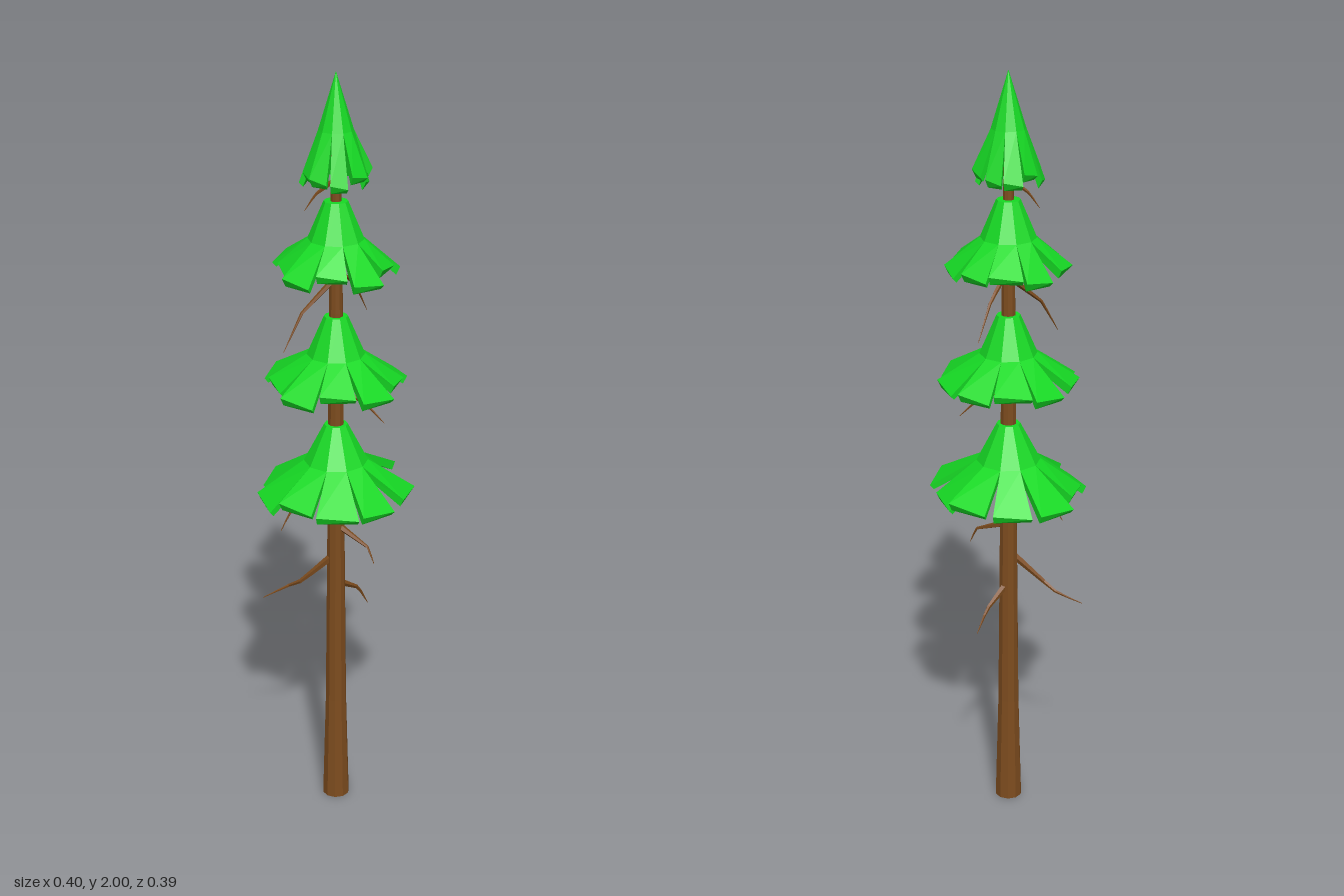
import * as THREE from 'three';

const bark = new THREE.MeshStandardMaterial({ color: 0x7d4c1e, flatShading: true });
const needles = new THREE.MeshStandardMaterial({ color: 0x16d924, flatShading: true, side: THREE.DoubleSide });
const LEAVES = 10;

function add(parent, name, geometry, material) {
  const mesh = new THREE.Mesh(geometry, material);
  mesh.name = name;
  parent.add(mesh);
  return mesh;
}

// Geometry from loose four-cornered faces
function quadGeometry(quads) {
  const pos = [];
  for (const [a, b, c, d] of quads) for (const p of [a, b, c, a, c, d]) pos.push(p.x, p.y, p.z);
  const g = new THREE.BufferGeometry();
  g.setAttribute('position', new THREE.Float32BufferAttribute(pos, 3));
  g.computeVertexNormals();
  return g;
}

const polar = (r, y, a) => new THREE.Vector3(r * Math.cos(a), y, r * Math.sin(a));

// A skirt of ten thick drooping leaves, joined above the middle row and split below it.
// rows: [radius, height] at the top, middle and tip; offset: angle of the first leaf in degrees
function tierGeometry(rows, offset, stretch) {
  const quads = [];
  for (let i = 0; i < LEAVES; i++) {
    const centre = THREE.MathUtils.degToRad(offset + i * 360 / LEAVES);
    const half = Math.PI / LEAVES;
    const reach = 1 + stretch * (i % 2 ? -1 : 1);
    const lift = 0.012 * Math.sin(i * 2.4 + offset);
    const outer = [], inner = [];
    rows.forEach(([r, y], k) => {
      const tip = k === 2;
      const h = tip ? half * 0.86 : half;
      const ends = [centre - h, centre + h];
      const rr = tip ? r * reach : r, yy = tip ? y + lift : y;
      outer.push(ends.map((a, s) => polar(rr, yy + (tip ? 0.005 * (s ? 1 : -1) : 0), a)));
      inner.push(ends.map((a) => polar(Math.max(rr - 0.01, 0), yy - 0.016, a)));
    });
    for (let k = 0; k < 2; k++) {
      const [a, b, c, d] = [outer[k], outer[k + 1], inner[k], inner[k + 1]];
      quads.push([a[0], a[1], b[1], b[0]]); // upper face
      quads.push([c[1], c[0], d[0], d[1]]); // underside
      if (k === 1) {
        quads.push([a[0], b[0], d[0], c[0]], [b[1], a[1], c[1], d[1]]); // sides
        quads.push([b[0], b[1], d[1], d[0]]); // tip edge
      }
    }
    // Flat cap over the tier
    const hub = new THREE.Vector3(0, rows[0][1], 0);
    if (rows[0][0] > 0) quads.push([hub, outer[0][1], outer[0][0], hub]);
  }
  return quadGeometry(quads);
}

// Bare twig: four-sided tube along a bent path, tapering to a point
function twigGeometry(points, radius) {
  const sides = 5, segs = 6;
  const path = new THREE.CurvePath();
  const pts = points.map((p) => new THREE.Vector3(...p));
  for (let i = 1; i < pts.length; i++) path.add(new THREE.LineCurve3(pts[i - 1], pts[i]));
  const g = new THREE.TubeGeometry(path, segs, radius, sides, false);
  const pos = g.attributes.position, v = new THREE.Vector3();
  for (let i = 0; i < pos.count; i++) {
    const t = Math.floor(i / (sides + 1)) / segs;
    const c = path.getPointAt(t);
    v.fromBufferAttribute(pos, i).sub(c).multiplyScalar(1 - 0.92 * t).add(c);
    pos.setXYZ(i, v.x, v.y, v.z);
  }
  g.computeVertexNormals();
  return g;
}

export function createModel() {
  const tree = new THREE.Group();
  tree.name = 'pineTree';

  // Trunk, flared at the foot
  const profile = [[0, 0], [0.036, 0], [0.028, 0.3], [0.022, 0.9], [0.018, 1.4], [0.012, 1.8], [0, 1.82]];
  add(tree, 'trunk', new THREE.LatheGeometry(profile.map(([x, y]) => new THREE.Vector2(x, y)), 10), bark);

  // Foliage tiers, lowest first
  const foliage = new THREE.Group();
  foliage.name = 'foliage';
  tree.add(foliage);
  [
    { rows: [[0.03, 1.1], [0.082, 1.0], [0.194, 0.92]], offset: -23.5, stretch: 0.04 },
    { rows: [[0.03, 1.39], [0.073, 1.29], [0.174, 1.222]], offset: 12, stretch: 0.03 },
    { rows: [[0.03, 1.685], [0.07, 1.59], [0.15, 1.52]], offset: 18, stretch: 0.05 },
    { rows: [[0, 2.0], [0.043, 1.86], [0.085, 1.748]], offset: 8, stretch: 0.05 },
  ].forEach(({ rows, offset, stretch }, i) =>
    add(foliage, `foliageTier${i + 1}`, tierGeometry(rows, offset, stretch), needles));

  // Dead twigs between the tiers
  const twigs = new THREE.Group();
  twigs.name = 'twigs';
  tree.add(twigs);
  [
    [[0, 0.73, 0.01], [-0.07, 0.65, 0.058], [-0.11, 0.625, 0.065], [-0.16, 0.59, 0.11]],
    [[0, 0.645, -0.01], [0.005, 0.6, -0.085], [0.01, 0.54, -0.12]],
    [[0.01, 0.815, 0], [0.1, 0.777, -0.01], [0.118, 0.735, -0.012]],
    [[-0.005, 0.94, 0.005], [-0.075, 0.865, 0.09], [-0.09, 0.81, 0.113]],
    [[0.005, 1.19, -0.005], [0.06, 1.167, -0.035], [0.11, 1.11, -0.06]],
    [[-0.005, 1.48, 0.01], [-0.038, 1.41, 0.085], [-0.05, 1.32, 0.14]],
    [[0, 1.5, -0.01], [-0.015, 1.45, -0.09], [-0.02, 1.36, -0.145]],
    [[-0.003, 1.735, 0.003], [-0.037, 1.7, 0.033], [-0.055, 1.66, 0.053]],
  ].forEach((points, i) => add(twigs, `twig${i + 1}`, twigGeometry(points, 0.0105 - 0.0005 * i), bark));

  return tree;
}
